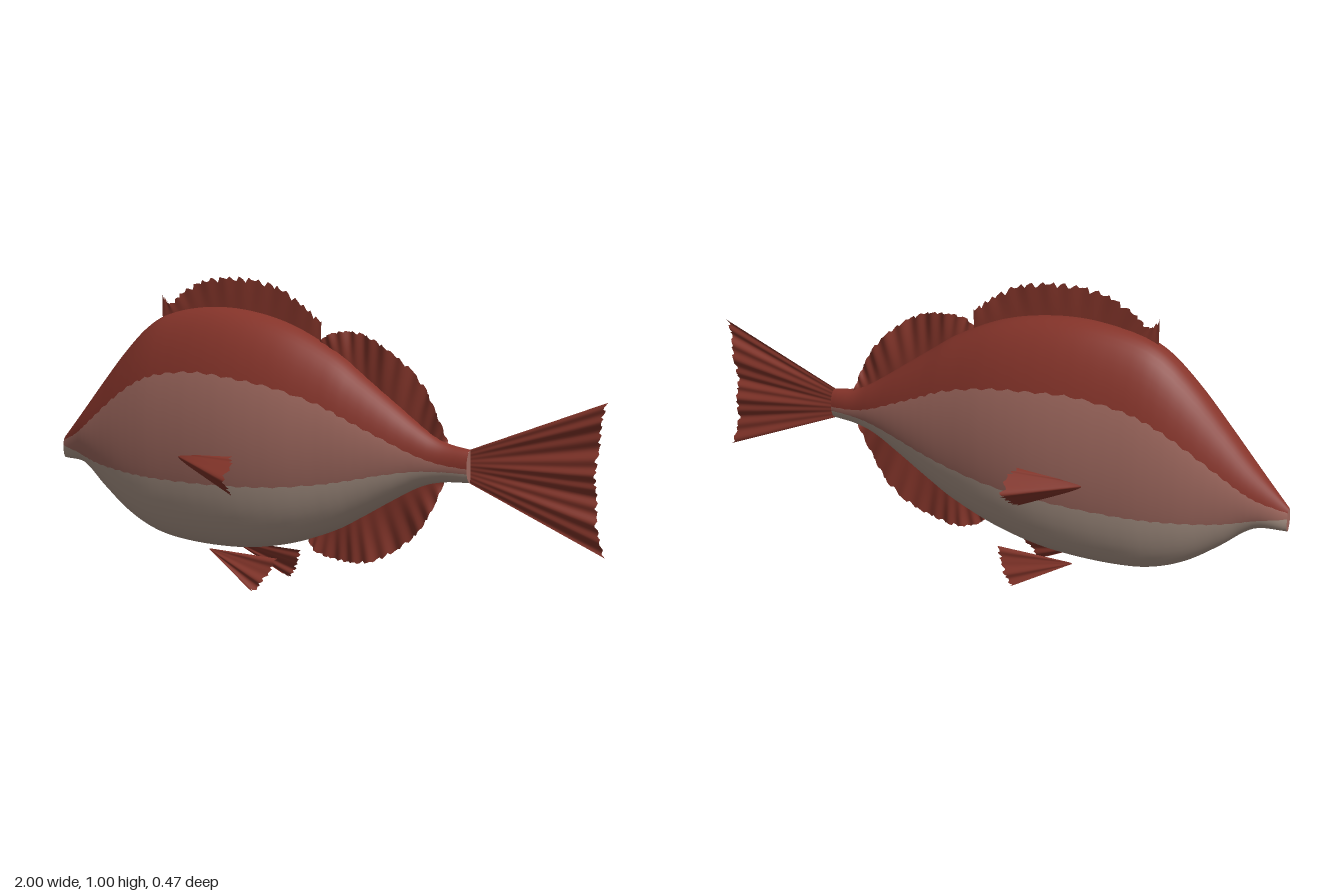
import * as THREE from 'three';

const mat = (name, color, side = THREE.FrontSide) => {
  const m = new THREE.MeshStandardMaterial({ color, side });
  m.name = name;
  return m;
};
const V = (x, y, z = 0) => new THREE.Vector3(x, y, z);

// body stations: x, back, belly, half width, red edge, pale edge
const stations = [
  [-1.0, 0.42, 0.345, 0.015, 0.408, 0.39],
  [-0.92, 0.505, 0.34, 0.048, 0.44, 0.378],
  [-0.87, 0.56, 0.315, 0.068, 0.47, 0.367],
  [-0.8, 0.64, 0.255, 0.09, 0.52, 0.355],
  [-0.7, 0.75, 0.182, 0.116, 0.59, 0.346],
  [-0.6, 0.838, 0.136, 0.135, 0.648, 0.34],
  [-0.5, 0.88, 0.116, 0.148, 0.682, 0.338],
  [-0.35, 0.9, 0.11, 0.16, 0.7, 0.34],
  [-0.2, 0.89, 0.12, 0.162, 0.69, 0.345],
  [-0.05, 0.852, 0.153, 0.15, 0.668, 0.355],
  [0.1, 0.78, 0.21, 0.125, 0.625, 0.375],
  [0.2, 0.712, 0.265, 0.106, 0.58, 0.395],
  [0.3, 0.642, 0.325, 0.084, 0.535, 0.418],
  [0.4, 0.572, 0.38, 0.059, 0.49, 0.435],
  [0.48, 0.527, 0.403, 0.04, 0.465, 0.44],
  [0.57, 0.51, 0.41, 0.028, 0.455, 0.44],
];

// elliptical loft whose rings are divided at the two colour edges
function bodyGeometry() {
  const outline = new THREE.CatmullRomCurve3(stations.map(s => V(s[0], s[1], s[2])), false, 'catmullrom', 0.5);
  const inner = new THREE.CatmullRomCurve3(stations.map(s => V(s[3], s[4], s[5])), false, 'catmullrom', 0.5);
  const rings = 120, zone = 10, half = zone * 3, cols = half * 2;
  const pos = [], idx = [[], [], []];
  for (let i = 0; i <= rings; i++) {
    const o = outline.getPoint(i / rings), n = inner.getPoint(i / rings);
    const cy = (o.y + o.z) / 2, ry = (o.y - o.z) / 2;
    const jag = 0.004 * Math.sin(i * 1.9) * Math.min(1, ry * 4);
    const edge = y => Math.acos(THREE.MathUtils.clamp((y - cy) / ry, -0.98, 0.98));
    const stops = [0, edge(n.y + jag), edge(n.z + jag * 0.6), Math.PI];
    for (let j = 0; j < cols; j++) {
      const k = j <= half ? j : cols - j;
      const q = Math.min(2, Math.floor(k / zone));
      const a = THREE.MathUtils.lerp(stops[q], stops[q + 1], k / zone - q);
      pos.push(o.x, cy + ry * Math.cos(a), n.x * Math.sin(a) * (j <= half ? 1 : -1));
    }
  }
  for (let i = 0; i < rings; i++) for (let j = 0; j < cols; j++) {
    const a = i * cols + j, b = i * cols + (j + 1) % cols, c = a + cols, d = b + cols;
    const k = j < half ? j : cols - 1 - j;
    idx[Math.floor(k / zone)].push(a, b, c, b, d, c);
  }
  const g = new THREE.BufferGeometry();
  g.setAttribute('position', new THREE.Float32BufferAttribute(pos, 3));
  g.setIndex(idx.flat());
  let start = 0;
  idx.forEach((list, m) => { g.addGroup(start, list.length, m); start += list.length; });
  g.computeVertexNormals();
  return g;
}

// rippled membrane between a root line and a ragged outer line
function finGeometry(root, tip, { rays = 20, ragged = 0.04, ripple = 0.006 } = {}) {
  const a = new THREE.CatmullRomCurve3(root), b = new THREE.CatmullRomCurve3(tip);
  const nu = rays * 4, nv = 5, pos = [], idx = [];
  for (let i = 0; i <= nu; i++) {
    const u = i / nu, p = a.getPoint(u), q = b.getPoint(u);
    const tooth = 1 - ragged * [0, 0.35, 0.7, 1][i % 4] * (0.7 + 0.3 * Math.sin(i));
    for (let j = 0; j <= nv; j++) {
      const v = j / nv, r = p.clone().lerp(q, v * tooth);
      r.z += ripple * v * (0.65 * Math.sin(u * 17) + 0.35 * Math.sin(u * rays * Math.PI));
      pos.push(r.x, r.y, r.z);
      if (i < nu && j < nv) {
        const k = i * (nv + 1) + j, l = k + nv + 1;
        idx.push(k, l, k + 1, k + 1, l, l + 1);
      }
    }
  }
  const g = new THREE.BufferGeometry();
  g.setAttribute('position', new THREE.Float32BufferAttribute(pos, 3));
  g.setIndex(idx);
  g.computeVertexNormals();
  return g;
}

export function createModel() {
  const fish = new THREE.Group();
  fish.name = 'fish';
  const red = mat('red back', 0x86342a);
  const pink = mat('pink flank', 0xa0695f);
  const pale = mat('pale belly', 0xae988a);
  const finRed = mat('red fin', 0x84352a, THREE.DoubleSide);
  const add = (name, geometry, material) => {
    const m = new THREE.Mesh(geometry, material);
    m.name = name;
    fish.add(m);
    return m;
  };

  add('body', bodyGeometry(), [red, pink, pale]);

  // flat ends at the mouth and the tail root
  const cap = (name, s, dir) => {
    const g = new THREE.CircleGeometry(1, 32).scale(s[3], (s[1] - s[2]) / 2, 1).rotateY(dir * Math.PI / 2);
    add(name, g.translate(s[0], (s[1] + s[2]) / 2, 0), pink);
  };
  cap('mouth', stations[0], -1);
  cap('tailRoot', stations[stations.length - 1], 1);

  // fins on the centre line
  const line = pts => pts.map(p => V(...p));
  add('spinyDorsalFin', finGeometry(
    line([[-0.57, 0.84], [-0.45, 0.87], [-0.3, 0.88], [-0.13, 0.86], [0.045, 0.79]]),
    line([[-0.57, 0.935], [-0.54, 0.905], [-0.49, 0.945], [-0.4, 0.987], [-0.3, 1.0], [-0.2, 0.995], [-0.1, 0.97], [-0.01, 0.915], [0.045, 0.87]]),
    { rays: 22, ragged: 0.16, ripple: 0.004 }), finRed);
  add('softDorsalFin', finGeometry(
    line([[0.04, 0.79], [0.15, 0.73], [0.27, 0.64], [0.4, 0.55], [0.49, 0.51]]),
    line([[0.04, 0.81], [0.09, 0.838], [0.16, 0.845], [0.25, 0.82], [0.34, 0.76], [0.42, 0.675], [0.47, 0.59], [0.49, 0.52]]),
    { rays: 22, ragged: 0.06, ripple: 0.014 }), finRed);
  add('analFin', finGeometry(
    line([[0, 0.19], [0.1, 0.23], [0.2, 0.285], [0.34, 0.36], [0.48, 0.42]]),
    line([[0, 0.165], [0.03, 0.132], [0.09, 0.113], [0.16, 0.11], [0.24, 0.125], [0.32, 0.17], [0.4, 0.24], [0.45, 0.32], [0.48, 0.405]]),
    { rays: 22, ragged: 0.06, ripple: 0.012 }), finRed);
  add('tailFin', finGeometry(
    line([[0.565, 0.51], [0.565, 0.46], [0.565, 0.41]]),
    line([[1, 0.685], [0.982, 0.6], [0.973, 0.5], [0.972, 0.42], [0.98, 0.33], [1, 0.23]]),
    { rays: 18, ragged: 0.025, ripple: 0.012 }), finRed);

  // paired fins, mirrored across the centre line
  for (const [side, s] of [['left', 1], ['right', -1]]) {
    const mirror = pts => pts.map(p => V(p[0], p[1], p[2] * s));
    add(side + 'PectoralFin', finGeometry(
      mirror([[-0.385, 0.438, 0.152], [-0.405, 0.425, 0.152], [-0.38, 0.405, 0.152]]),
      mirror([[-0.185, 0.445, 0.158], [-0.165, 0.425, 0.19], [-0.165, 0.375, 0.232], [-0.17, 0.34, 0.195], [-0.185, 0.312, 0.155]]),
      { rays: 9, ragged: 0.08, ripple: 0.005 * s }), finRed);
    add(side + 'PelvicFin', finGeometry(
      mirror([[-0.33, 0.112, 0.07], [-0.34, 0.11, 0.071], [-0.33, 0.104, 0.073]]),
      mirror([[-0.075, 0.11, 0.07], [-0.09, 0.07, 0.085], [-0.115, 0.03, 0.1], [-0.14, 0.002, 0.11], [-0.165, 0.012, 0.108]]),
      { rays: 9, ragged: 0.05, ripple: 0.006 * s }), finRed);
  }
  return fish;
}
